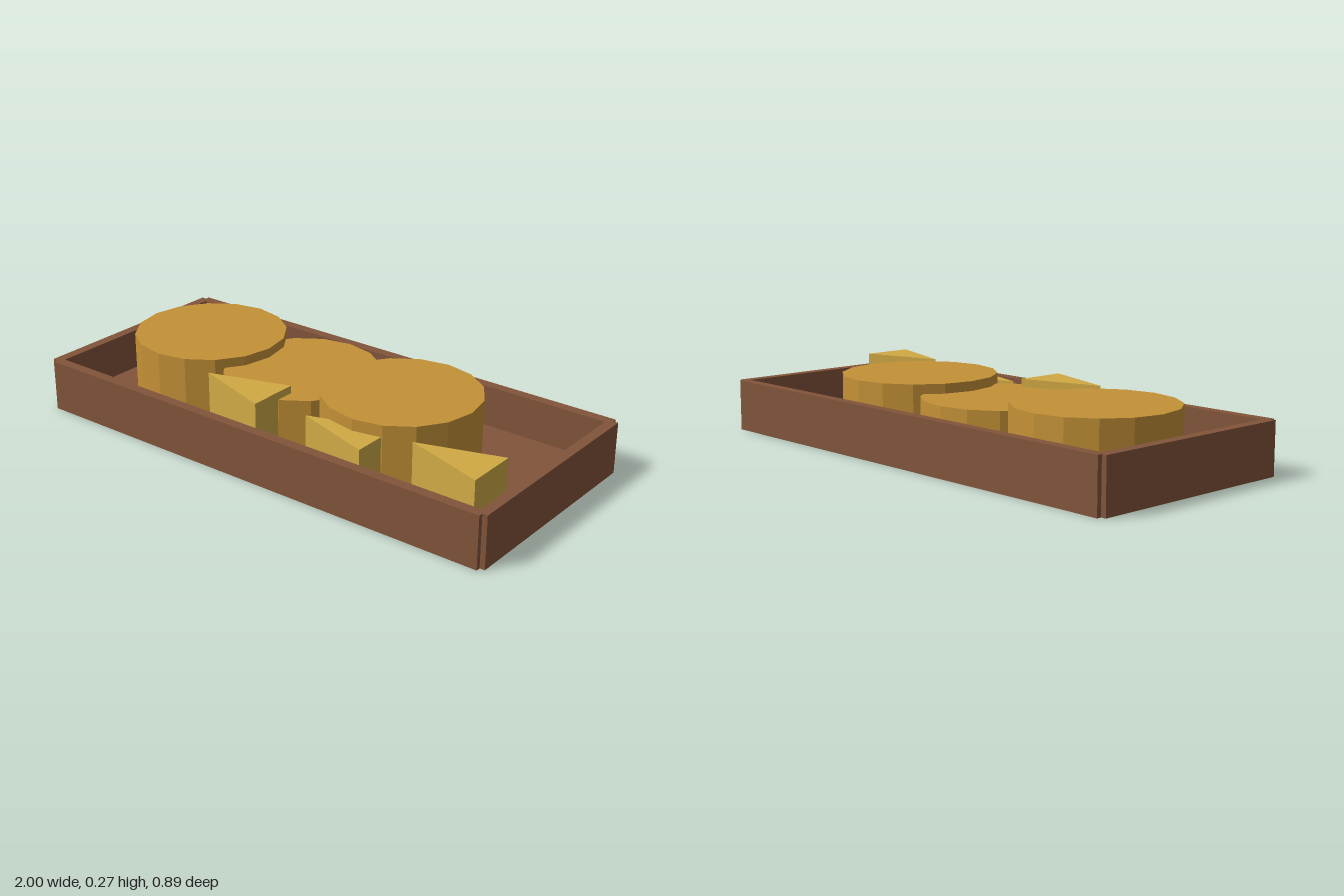
import * as THREE from 'three';

export function createModel() {
  const group = new THREE.Group();
  group.name = 'tray';

  const material = (name, color) => {
    const m = new THREE.MeshStandardMaterial({ color, flatShading: true });
    m.name = name;
    return m;
  };
  const wood = material('brown wood', 0x82553a);
  const amber = material('amber', 0xc59237);
  const gold = material('pale gold', 0xd0aa45);

  const add = (name, geometry, mat, x, y, z) => {
    const mesh = new THREE.Mesh(geometry, mat);
    mesh.name = name;
    mesh.position.set(x, y, z);
    group.add(mesh);
    return mesh;
  };

  // Tray: floor and four walls that leave a small notch at each corner
  const wallHeight = 0.2;
  const wallThickness = 0.04;
  add('floor', new THREE.BoxGeometry(1.94, 0.04, 0.83), wood, 0, 0.02, 0);
  for (const side of [1, -1]) {
    add(side > 0 ? 'frontWall' : 'backWall',
      new THREE.BoxGeometry(1.96, wallHeight, wallThickness), wood, 0, wallHeight / 2, side * 0.425);
    add(side > 0 ? 'leftWall' : 'rightWall',
      new THREE.BoxGeometry(wallThickness, wallHeight, 0.855), wood, side * 0.98, wallHeight / 2, 0);
  }

  // Overlapping round loaves with sixteen sides
  const base = 0.002;
  [[-0.605, 0.267], [-0.14, 0.23], [0.325, 0.267]].forEach(([x, top], i) => {
    const h = top - base;
    add(`roundLoaf${i + 1}`, new THREE.CylinderGeometry(0.3, 0.3, h, 16), amber, x, base + h / 2, -0.053);
  });

  // Wedges pointing to -x
  const wedge = new THREE.Shape([
    new THREE.Vector2(-0.315, 0),
    new THREE.Vector2(0, -0.1),
    new THREE.Vector2(0, 0.1),
  ]);
  [[-0.028, 0.26], [0.435, 0.222], [0.9, 0.26]].forEach(([x, top], i) => {
    const geometry = new THREE.ExtrudeGeometry(wedge, { depth: top - base, bevelEnabled: false });
    geometry.rotateX(-Math.PI / 2);
    add(`wedge${i + 1}`, geometry, gold, x, base, 0.25);
  });

  return group;
}
